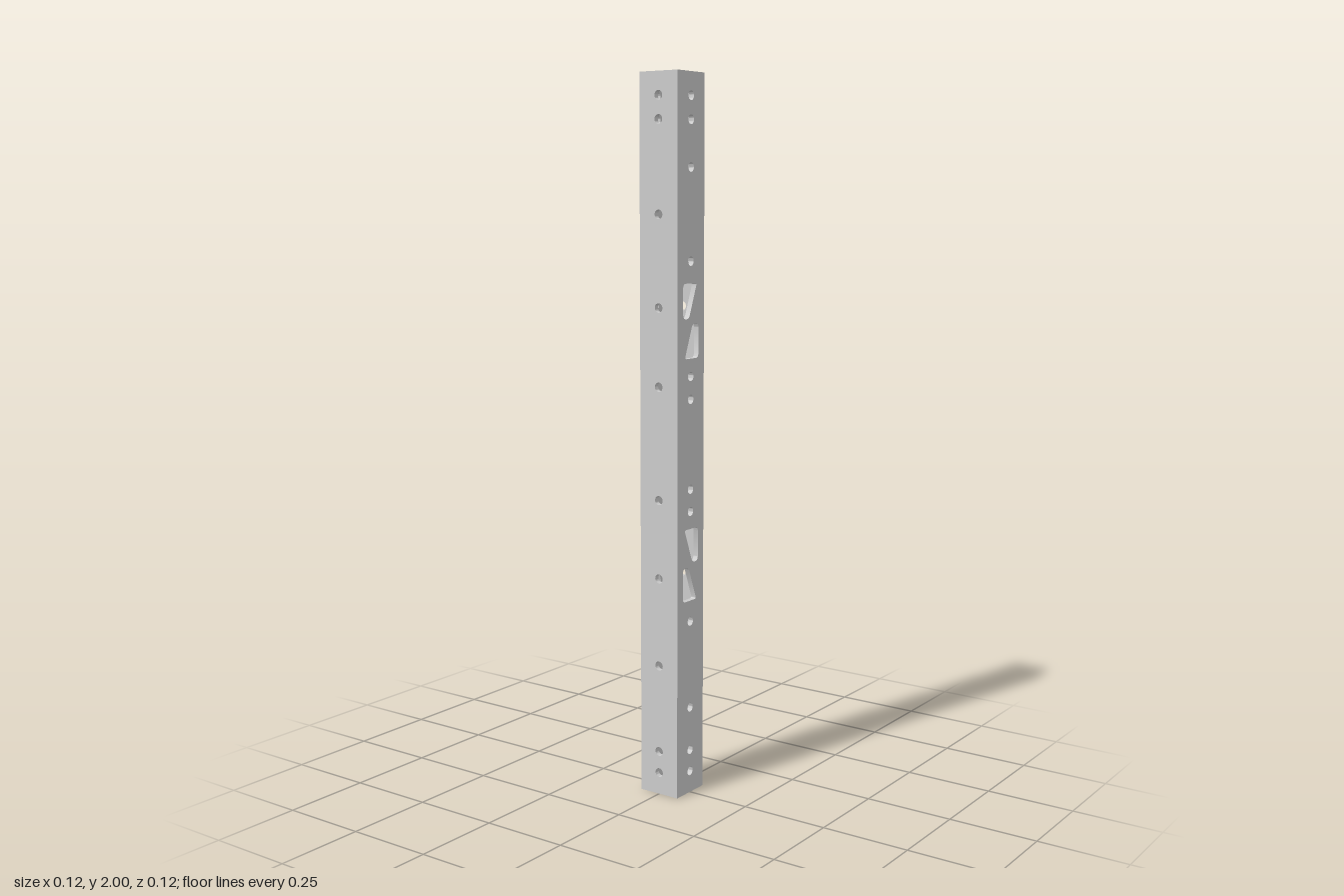
import * as THREE from 'three';
import { toCreasedNormals } from 'three/addons/utils/BufferGeometryUtils.js';

const LENGTH = 2, HALF = 0.0625, WALL = 0.015, INNER = HALF - WALL;
const HOLE_R = 0.0128;
const MID_SLOT = 1.3385;

// Bolt hole heights on the front/back walls and on the side walls
const FRONT_HOLES = [0.0625, 0.125, 0.25, 0.5, 0.8125, 0.875, 1.125, 1.1875, 1.5, 1.75, 1.875, 1.9375];
const SIDE_HOLES = [0.0625, 0.125, 0.375, 0.625, 0.846, 1.16, 1.375, 1.625, 1.875, 1.9375];

function boltHole(y) {
  return new THREE.Path().absarc(0, y, HOLE_R, 0, Math.PI * 2, true);
}

// Closed path through the corners [x, y, radius], each corner rounded
function roundedPath(corners) {
  const path = new THREE.Path();
  const n = corners.length;
  const toward = (a, b) => {
    const d = Math.hypot(b[0] - a[0], b[1] - a[1]);
    const t = a[2] / d;
    return [a[0] + (b[0] - a[0]) * t, a[1] + (b[1] - a[1]) * t];
  };
  corners.forEach((c, i) => {
    const start = toward(c, corners[(i + n - 1) % n]);
    const end = toward(c, corners[(i + 1) % n]);
    if (i === 0) path.moveTo(...start);
    else path.lineTo(...start);
    path.quadraticCurveTo(c[0], c[1], ...end);
  });
  path.closePath();
  return path;
}

// Tapered slots: one shape, turned half a turn for its partner, both mirrored about mid-height
function taperedSlots() {
  const base = [
    [-0.036, 0.102, 0.012], [0.028, 0.102, 0.009],
    [-0.009, 0.006, 0.012], [-0.036, 0.006, 0.014],
  ];
  const slots = [];
  for (const turn of [1, -1]) {
    for (const flip of [1, -1]) {
      slots.push(roundedPath(base.map(([x, y, r]) =>
        [x * turn, LENGTH / 2 + flip * (MID_SLOT + y * turn - LENGTH / 2), r])));
    }
  }
  return slots;
}

function wallGeometry(halfWidth, holes) {
  const shape = new THREE.Shape([
    new THREE.Vector2(-halfWidth, 0), new THREE.Vector2(halfWidth, 0),
    new THREE.Vector2(halfWidth, LENGTH), new THREE.Vector2(-halfWidth, LENGTH),
  ]);
  shape.holes.push(...holes);
  const geometry = new THREE.ExtrudeGeometry(shape, { depth: WALL, bevelEnabled: false, curveSegments: 20 });
  return toCreasedNormals(geometry, 0.6);
}

export function createModel() {
  const group = new THREE.Group();
  group.name = 'squareTubeUpright';
  const material = new THREE.MeshStandardMaterial({ color: 0xcccccc });

  const add = (name, geometry, x, z, turn = 0) => {
    const mesh = new THREE.Mesh(geometry, material);
    mesh.name = name;
    mesh.position.set(x, 0, z);
    mesh.rotation.y = turn;
    group.add(mesh);
  };

  // Slotted front and back walls run the full width, with aligned openings
  const slotted = wallGeometry(HALF, [...FRONT_HOLES.map(boltHole), ...taperedSlots()]);
  add('frontWall', slotted, 0, INNER);
  add('backWall', slotted, 0, -HALF);

  // Side walls fit between them
  const side = wallGeometry(INNER, SIDE_HOLES.map(boltHole));
  add('leftWall', side, INNER, 0, Math.PI / 2);
  add('rightWall', side, -HALF, 0, Math.PI / 2);

  return group;
}
